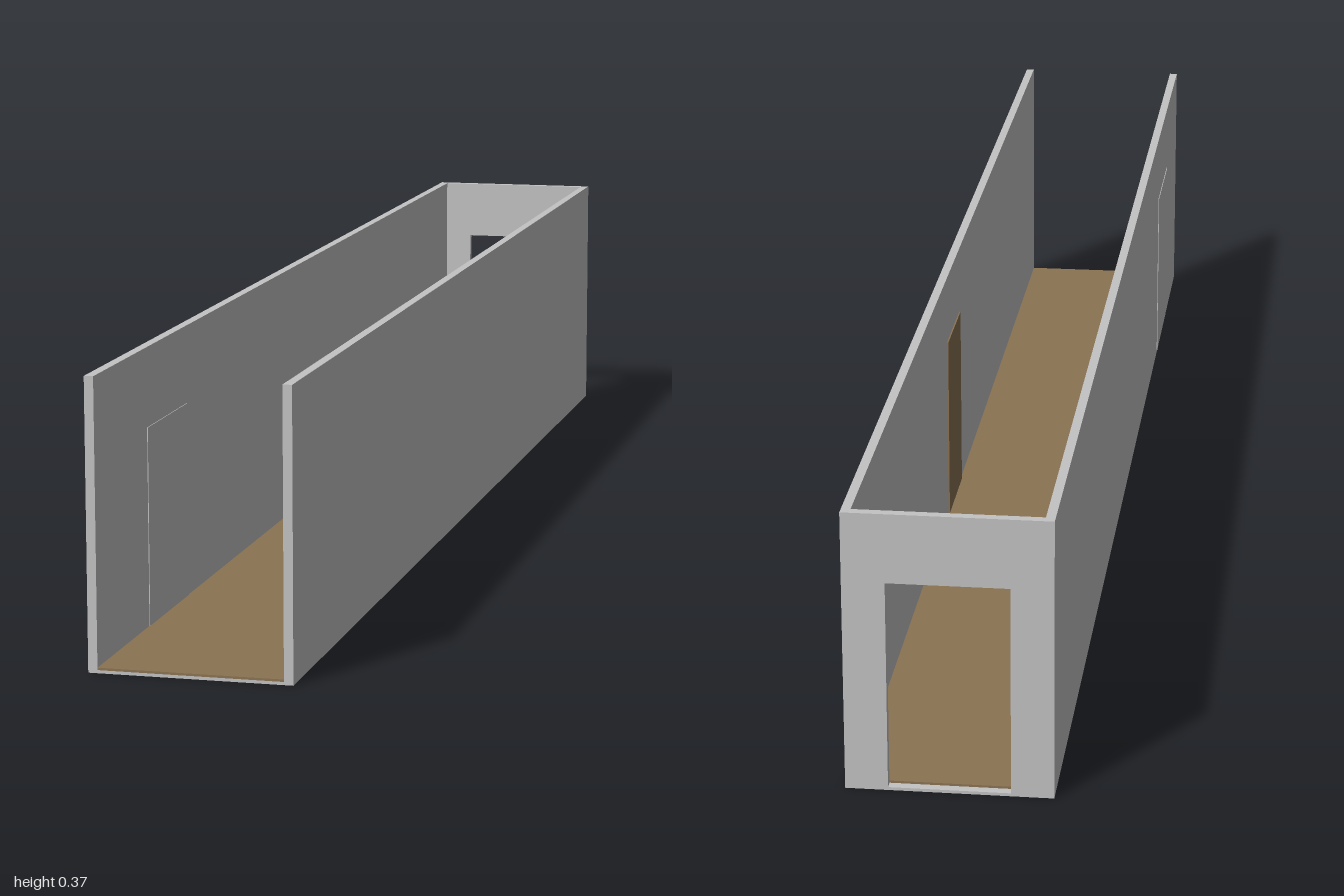
import * as THREE from 'three';

const grey = new THREE.MeshStandardMaterial({ color: 0xc3c3c3 });
grey.name = 'wall grey';
const brown = new THREE.MeshStandardMaterial({ color: 0x8b7353 });
brown.name = 'wood brown';

// Overall corridor sizes
const W = 0.131, H = 0.372, T = 0.012, SLAB = 0.004;

function box(name, material, [x0, x1], [y0, y1], [z0, z1]) {
  const mesh = new THREE.Mesh(new THREE.BoxGeometry(x1 - x0, y1 - y0, z1 - z0), material);
  mesh.position.set((x0 + x1) / 2, (y0 + y1) / 2, (z0 + z1) / 2);
  mesh.name = name;
  return mesh;
}

export function createModel() {
  const model = new THREE.Group();
  model.name = 'corridor';
  const inner = W - T;

  // Base slab with the wooden floor laid between the walls
  model.add(box('baseSlab', grey, [-W, W], [0, SLAB], [-1, 1]));
  model.add(box('floorBoards', brown, [-inner, inner], [SLAB, 0.007], [-1 + T, 1]));

  // Long side walls
  model.add(box('leftWall', grey, [inner, W], [SLAB, H], [-1, 1]));
  model.add(box('rightWall', grey, [-W, -inner], [SLAB, H], [-1, 1]));

  // End wall with an open doorway; the front end stays open
  const door = 0.077, doorTop = 0.281;
  const outline = new THREE.Shape([
    [-inner, SLAB], [-door, SLAB], [-door, doorTop], [door, doorTop],
    [door, SLAB], [inner, SLAB], [inner, H], [-inner, H],
  ].map(([x, y]) => new THREE.Vector2(x, y)));
  const endWall = new THREE.Mesh(
    new THREE.ExtrudeGeometry(outline, { depth: T, bevelEnabled: false }), grey);
  endWall.position.z = -1;
  endWall.name = 'backWall';
  model.add(endWall);

  // Closed grey door standing slightly proud of both faces of the right wall
  model.add(box('sideDoor', grey, [-W - 0.001, -inner + 0.001], [SLAB, 0.268], [0.61, 0.785]));

  // Wooden door panel on the inner face of the left wall
  model.add(box('woodDoor', brown, [inner - 0.002, inner], [SLAB, 0.275], [-0.13, 0.005]));

  return model;
}
